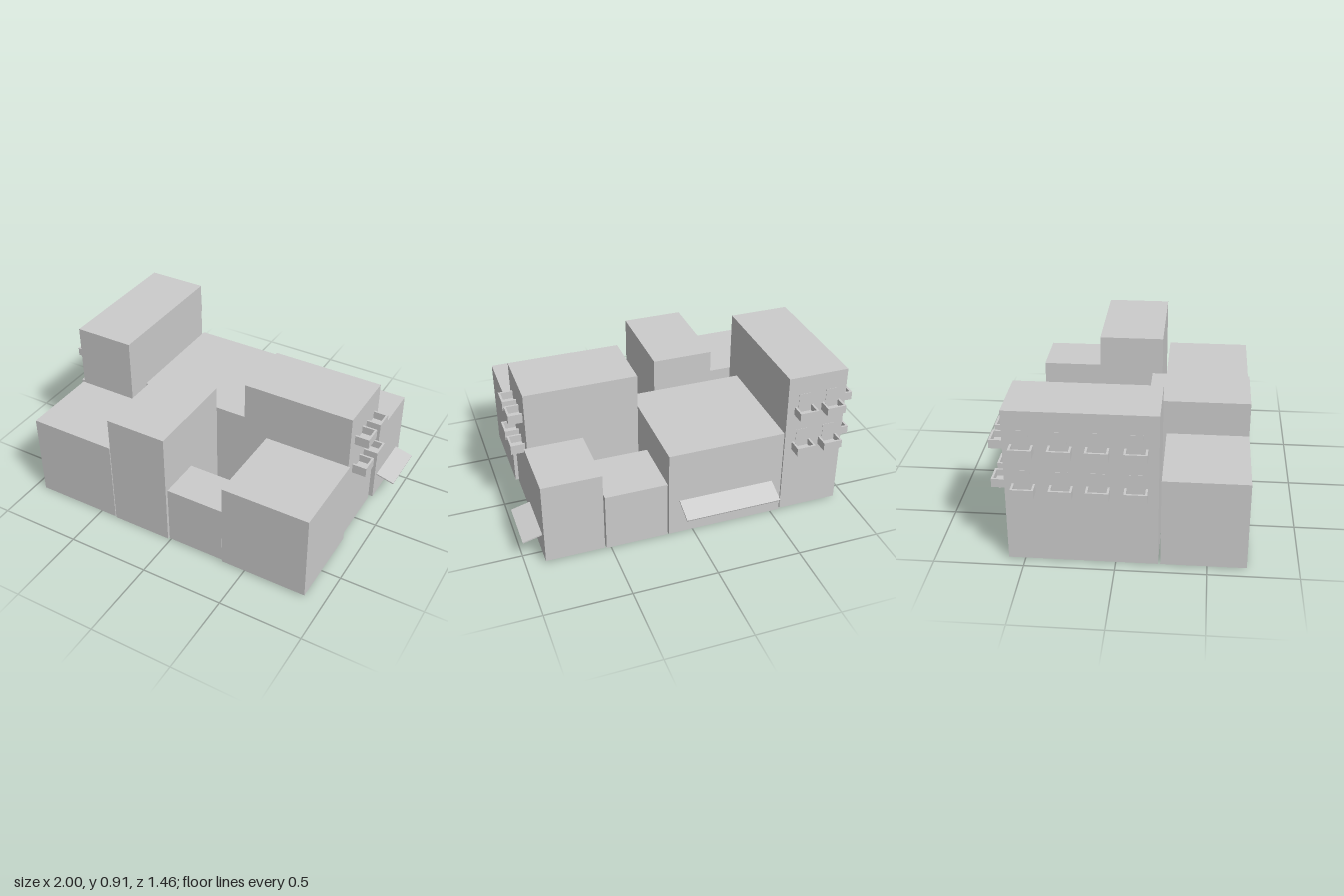
import * as THREE from 'three';

const grey = new THREE.MeshStandardMaterial({ color: 0xcccccc, flatShading: true });

// Box given by its min and max corners
function block(name, x0, x1, y0, y1, z0, z1) {
  const mesh = new THREE.Mesh(new THREE.BoxGeometry(x1 - x0, y1 - y0, z1 - z0), grey);
  mesh.position.set((x0 + x1) / 2, (y0 + y1) / 2, (z0 + z1) / 2);
  mesh.name = name;
  return mesh;
}

// Open-topped balcony projecting along local +z from a wall at z = 0
function balcony(width, depth, height, withDoor) {
  const g = new THREE.Group();
  g.name = 'balcony';
  const w = width / 2, t = 0.012;
  g.add(block('balconyFloor', -w, w, 0, t, 0, depth));
  g.add(block('balconyFront', -w, w, t, height, depth - t, depth));
  for (const s of [-1, 1]) {
    const c = s * (w - t / 2);
    g.add(block('balconySide', c - t / 2, c + t / 2, t, height, 0, depth - t));
  }
  if (withDoor) g.add(block('balconyDoor', -w * 0.6, w * 0.6, t, 0.13, -0.002, 0.002));
  return g;
}

// Thin canopy sloping down along local +z from a wall at z = 0
function awning(width, depth, drop) {
  const g = new THREE.Group();
  g.name = 'awning';
  const panel = new THREE.Mesh(new THREE.BoxGeometry(width, 0.008, Math.hypot(depth, drop)), grey);
  panel.name = 'awningPanel';
  panel.position.set(0, -drop / 2, depth / 2);
  panel.rotation.x = Math.atan2(drop, depth);
  g.add(panel);
  return g;
}

export function createModel() {
  const model = new THREE.Group();
  model.name = 'buildingBlock';

  // Buildings around the courtyard: x0, x1, y0, y1, z0, z1
  const buildings = {
    backRightTower: [-0.93, -0.565, 0.005, 0.91, -0.592, 0.232],
    backHall: [-0.555, 0.15, 0.005, 0.555, -0.6, 0.095],
    backLowHouse: [0.16, 0.53, 0.01, 0.37, -0.605, -0.24],
    backLeftHouse: [0.54, 0.887, 0.017, 0.525, -0.607, -0.213],
    leftTower: [0.2, 0.866, 0.01, 0.862, -0.197, 0.19],
    frontLeftHouse: [0.357, 0.884, 0.01, 0.556, 0.21, 0.727],
    frontLowHouse: [-0.005, 0.35, 0.01, 0.38, 0.46, 0.716],
    frontTower: [-0.39, -0.018, 0, 0.732, 0.14, 0.716],
    frontRightHouse: [-0.93, -0.395, 0.005, 0.53, 0.245, 0.716],
  };
  for (const [name, b] of Object.entries(buildings)) model.add(block(name, ...b));

  const place = (part, x, y, z, turn) => {
    part.position.set(x, y, z);
    part.rotation.y = turn;
    model.add(part);
  };

  // Two storeys of balconies on the tall back tower
  for (const y of [0.43, 0.668]) {
    for (const z of [-0.488, -0.286, -0.09, 0.112])
      place(balcony(0.125, 0.07, 0.05, true), -0.93, y, z, -Math.PI / 2);
    for (const x of [-0.838, -0.668])
      place(balcony(0.115, 0.08, 0.05, true), x, y, -0.592, Math.PI);
  }

  // Two storeys of balconies on the left tower
  for (const y of [0.453, 0.657])
    for (const z of [-0.087, 0.073])
      place(balcony(0.112, 0.084, 0.058, false), 0.866, y, z, Math.PI / 2);

  // Awnings over the rear and left entrances
  place(awning(0.58, 0.127, 0.05), -0.205, 0.23, -0.6, Math.PI);
  place(awning(0.31, 0.113, 0.03), 0.886, 0.17, -0.402, Math.PI / 2);

  return model;
}
